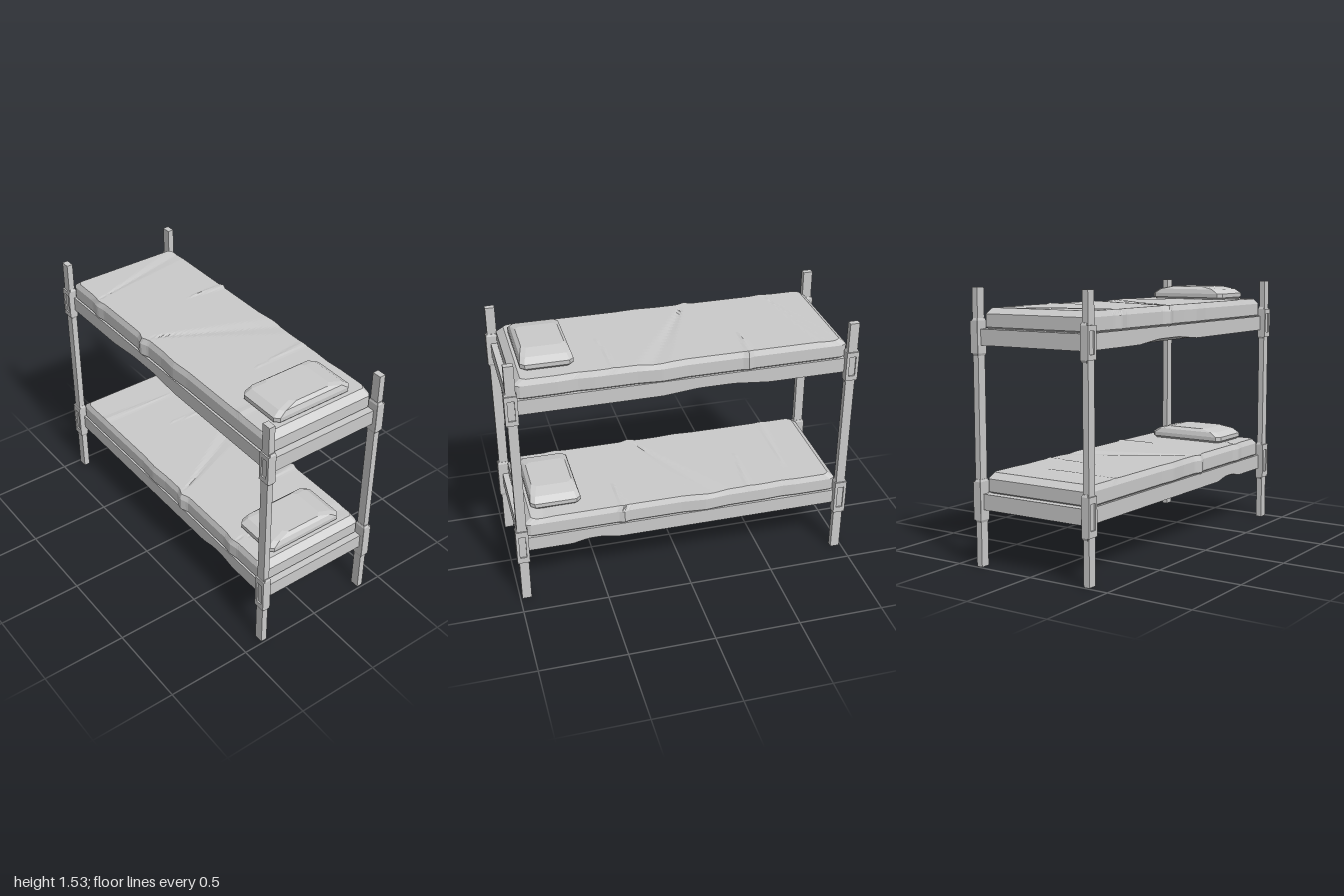
import * as THREE from 'three';
import { ConvexGeometry } from 'three/addons/geometries/ConvexGeometry.js';

const grey = new THREE.MeshStandardMaterial({ color: 0xcccccc, flatShading: true });

function add(parent, name, geometry, x = 0, y = 0, z = 0) {
  const mesh = new THREE.Mesh(geometry, grey);
  mesh.name = name;
  mesh.position.set(x, y, z);
  parent.add(mesh);
  return mesh;
}

// Faceted solid from stacked rectangles [halfX, halfZ, y] with cut corners
function stacked(rings, cut) {
  const pts = [];
  for (const [hx, hz, y] of rings)
    for (const sx of [-1, 1])
      for (const sz of [-1, 1]) {
        pts.push(new THREE.Vector3(sx * (hx - cut), y, sz * hz));
        pts.push(new THREE.Vector3(sx * hx, y, sz * (hz - cut)));
      }
  return new ConvexGeometry(pts);
}

function rect(target, w, h) {
  target.moveTo(-w, -h);
  target.lineTo(w, -h);
  target.lineTo(w, h);
  target.lineTo(-w, h);
  target.closePath();
  return target;
}

// Folds on the sheet: [start x, start z, end x, end z, width, height]
const folds = [
  [-0.35, -0.66, 0.36, -0.84, 0.07, -0.005],
  [0.04, -0.385, 0.36, -0.36, 0.035, 0.005],
  [-0.35, -0.18, 0.36, 0.19, 0.1, -0.006],
  [-0.03, 0.42, 0.36, 0.39, 0.035, 0.004],
  [0.3, 0.66, -0.36, 0.69, 0.04, 0.004],
];
// Bulges along the mattress sides: [side, z, half length, amount]
const bulges = [
  [1, -0.36, 0.03, 0.01], [1, 0.13, 0.14, 0.013], [1, 0.6, 0.1, -0.006],
  [-1, -0.65, 0.06, 0.01], [-1, -0.18, 0.05, 0.02], [-1, 0.12, 0.12, 0.008],
];
// Mattress levels: [y, half width, half length]
const levels = [
  [0.4, 0.333, 0.915], [0.417, 0.349, 0.938], [0.488, 0.349, 0.938], [0.52, 0.335, 0.898],
];

function mattress(flip) {
  const geo = new THREE.BoxGeometry(2, 3, 2, 20, 3, 120);
  const p = geo.attributes.position;
  for (let i = 0; i < p.count; i++) {
    const u = p.getX(i), w = p.getZ(i);
    const level = Math.round(p.getY(i) + 1.5);
    const [y0, hx, hz] = levels[level];
    // Corners are cut slightly in plan
    const corner = Math.max(0, (Math.abs(w) - 0.975) / 0.025);
    let x = u * (hx - 0.02 * corner), y = y0;
    const z = w * hz, zf = z * flip;
    for (const [side, bz, len, amount] of bulges) {
      const k = Math.max(0, 1 - Math.abs(zf - bz) / len);
      if (u * side > 0.99) x += side * amount * k;
    }
    if (level === 3)
      for (const [x0, z0, x1, z1, width, h] of folds) {
        const t = (x - x0) / (x1 - x0);
        if (t <= 0 || t > 1) continue;
        const d = Math.abs(zf - z0 - (z1 - z0) * t) / (width * t);
        y += h * Math.max(0, 1 - d);
      }
    p.setXYZ(i, x, y, z);
  }
  return geo;
}

// Side rail with a worn chip along its outer lower edge
function sideRail(side, from, to) {
  const geo = new THREE.BoxGeometry(0.045, 0.088, 1.9, 1, 1, 60);
  const p = geo.attributes.position;
  const mid = (from + to) / 2, half = (to - from) / 2;
  for (let i = 0; i < p.count; i++) {
    if (p.getX(i) * side < 0 || p.getY(i) > 0) continue;
    const k = 1.5 * (1 - Math.abs(p.getZ(i) - mid) / half);
    p.setY(i, p.getY(i) + 0.02 * THREE.MathUtils.clamp(k, 0, 1));
  }
  return geo;
}

// Sleeve of half height h around a post, with a framed recess on its outer face
function bracket(h) {
  const g = new THREE.Group();
  g.name = 'postBracket';
  add(g, 'bracketSleeve', stacked([
    [0.016, 0.03, -h], [0.0205, 0.036, 0.013 - h],
    [0.0205, 0.036, h - 0.013], [0.016, 0.03, h],
  ], 0.001), -0.005);
  const frame = rect(new THREE.Shape(), 0.036, h - 0.013);
  frame.holes.push(rect(new THREE.Path(), 0.019, h * 0.59));
  const geo = new THREE.ExtrudeGeometry(frame, { depth: 0.012, bevelEnabled: false });
  add(g, 'bracketFrame', geo.rotateY(Math.PI / 2), 0.013);
  return g;
}

function bunk(name, y, flip, chip, bracketY, bracketHalf) {
  const g = new THREE.Group();
  g.name = name;
  g.position.y = y;
  for (const s of [-1, 1]) {
    add(g, 'sideRail', sideRail(s, ...chip), s * 0.3325, 0.364);
    add(g, 'endRail', new THREE.BoxGeometry(0.69, 0.088, 0.067), 0, 0.364, s * 0.939);
    for (const e of [-1, 1]) {
      const b = bracket(bracketHalf);
      b.position.set(s * 0.363, bracketY, e * 0.963);
      if (s < 0) b.rotation.y = Math.PI;
      g.add(b);
    }
  }
  // Support board and cross slats
  add(g, 'supportBoard', new THREE.BoxGeometry(0.64, 0.04, 1.17), 0, 0.375, 0.135);
  for (const z of [-0.34, 0.13, 0.61])
    add(g, 'slat', new THREE.BoxGeometry(0.64, 0.04, 0.22), 0, 0.345, z);
  add(g, 'mattress', mattress(flip));
  // Pillow
  add(g, 'pillow', stacked([
    [0.235, 0.13, 0.515], [0.25, 0.146, 0.532], [0.25, 0.146, 0.556],
    [0.21, 0.137, 0.583], [0.13, 0.118, 0.599],
  ], 0.025), 0, 0, 0.738);
  return g;
}

export function createModel() {
  const model = new THREE.Group();
  model.name = 'bunkBed';
  for (const x of [-0.362, 0.362])
    for (const z of [-0.961, 0.961])
      add(model, 'cornerPost', new THREE.BoxGeometry(0.036, 1.53, 0.055), x, 0.765, z);
  model.add(bunk('lowerBunk', 0, -1, [0.4, 0.67], 0.37, 0.12));
  model.add(bunk('upperBunk', 0.9, 1, [-0.48, 0.13], 0.365, 0.101));
  return model;
}
